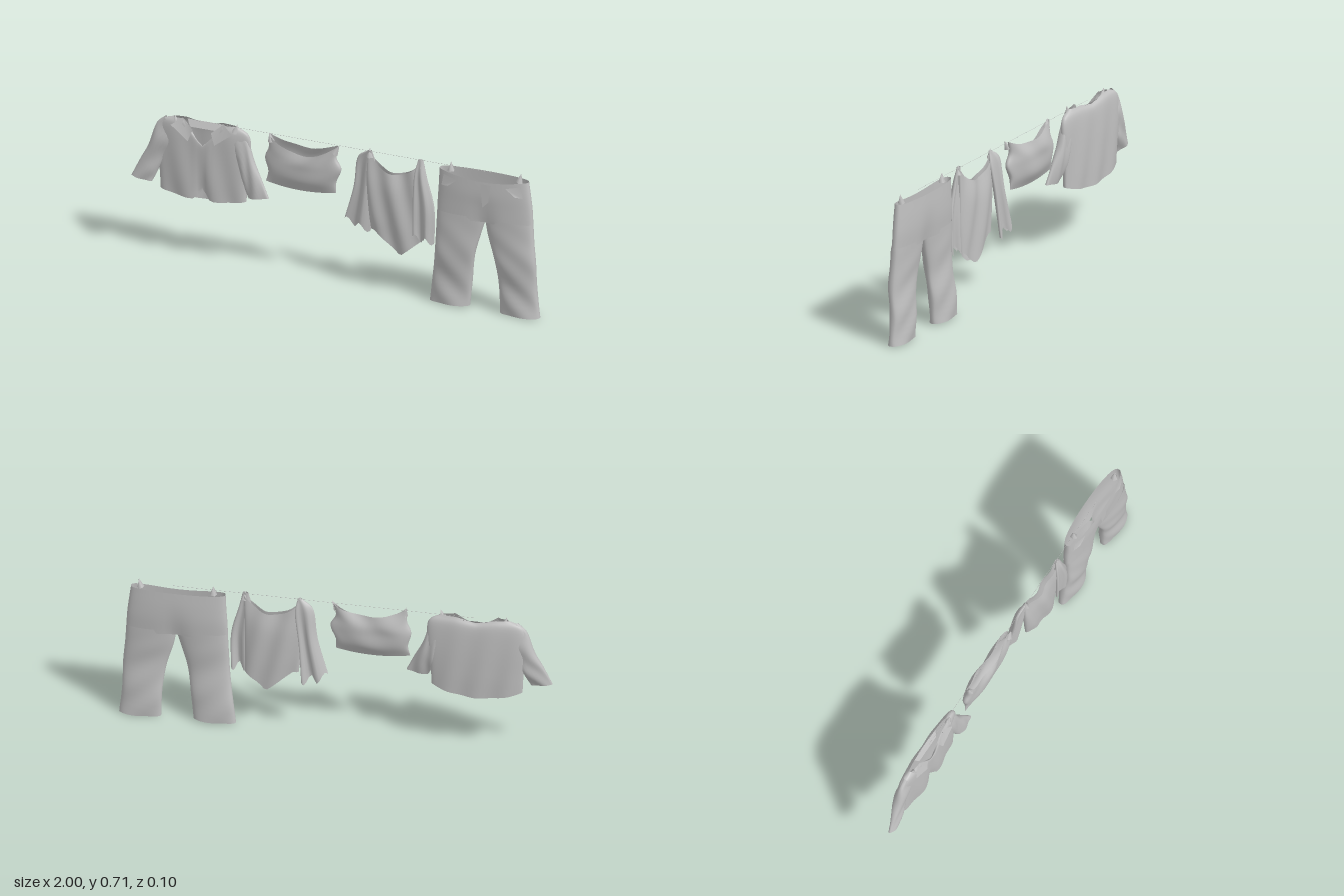
import * as THREE from 'three';

const cloth = new THREE.MeshStandardMaterial({ color: 0xc0c0c0, side: THREE.DoubleSide });
cloth.name = 'grey cloth';

function add(parent, name, geometry) {
  const mesh = new THREE.Mesh(geometry, cloth);
  mesh.name = name;
  parent.add(mesh);
  return mesh;
}

// Hollow cloth tube. Each ring: [ax, ay, bx, by, zCentre, zHalfDepth], from top to bottom.
// deform(p, c, s, t): c runs -1..1 from a to b, s is positive at the front, t is 0 at the top.
function loft(rings, deform = () => {}, n = 40, steps = 5) {
  const curve = (f) => new THREE.CatmullRomCurve3(rings.map(f), false, 'catmullrom', 0.5);
  const ca = curve((r) => new THREE.Vector3(r[0], r[1], r[4]));
  const cb = curve((r) => new THREE.Vector3(r[2], r[3], r[5]));
  const rows = (rings.length - 1) * steps;
  const pos = [], index = [];
  for (let i = 0; i <= rows; i++) {
    const t = i / rows, a = ca.getPoint(t), b = cb.getPoint(t);
    for (let j = 0; j < n; j++) {
      const th = (j / n) * Math.PI * 2;
      const c = Math.cos(th);
      const s = Math.sign(Math.sin(th)) * Math.abs(Math.sin(th)) ** 0.75;
      const p = new THREE.Vector3(
        (a.x + b.x) / 2 + ((b.x - a.x) / 2) * c,
        (a.y + b.y) / 2 + ((b.y - a.y) / 2) * c,
        a.z + b.z * s);
      deform(p, c, s, t);
      pos.push(p.x, p.y, p.z);
      if (i < rows) {
        const k = (j + 1) % n, u = i * n, d = u + n;
        index.push(u + j, u + k, d + j, u + k, d + k, d + j);
      }
    }
  }
  const g = new THREE.BufferGeometry();
  g.setAttribute('position', new THREE.Float32BufferAttribute(pos, 3));
  g.setIndex(index);
  g.computeVertexNormals();
  return g;
}

// Flat four-cornered piece of cloth
function patch(corners) {
  const g = new THREE.BufferGeometry();
  g.setAttribute('position', new THREE.Float32BufferAttribute(corners.flat(), 3));
  g.setIndex([0, 1, 2, 0, 2, 3]);
  g.computeVertexNormals();
  return g;
}

const bump = (x, at, width) => Math.exp(-(((x - at) / width) ** 2));

function makeShirt() {
  const shirt = new THREE.Group();
  shirt.name = 'shirt';
  add(shirt, 'shirtBody', loft([
    [-0.80, 0.695, -0.49, 0.695, 0.0, 0.016],
    [-0.87, 0.66, -0.43, 0.655, -0.003, 0.03],
    [-0.885, 0.55, -0.425, 0.55, -0.005, 0.034],
    [-0.87, 0.42, -0.44, 0.42, -0.005, 0.034],
    [-0.865, 0.33, -0.445, 0.33, -0.005, 0.03],
  ], (p, c, s, t) => {
    const front = Math.max(0, s);
    // open neck in front, shallow neckline behind
    const neck = Math.max(0, 1 - Math.abs(p.x + 0.65) / 0.09);
    p.y -= neck * (front * 0.12 + 0.02) * (1 - t) ** 2;
    // drooping back hem, parted front hem
    p.y -= t ** 3 * (1 - c * c) * (s < 0 ? 0.04 : 0.02);
    p.y += front * t ** 3 * 0.05 * bump(p.x, -0.65, 0.025);
    p.z -= front * 0.014 * bump(p.x, -0.65, 0.015) * t;
    p.z += 0.005 * Math.sin(p.x * 45 + p.y * 9) * t * Math.abs(s);
  }, 64));

  // Sleeves hang outward; the second mirrors the first
  const sleeve = [
    [-0.84, 0.69, -0.80, 0.52, 0, 0.018],
    [-0.885, 0.645, -0.845, 0.47, 0, 0.024],
    [-0.92, 0.54, -0.868, 0.43, 0.002, 0.024],
    [-0.96, 0.46, -0.885, 0.39, 0.01, 0.02],
    [-1.0, 0.375, -0.90, 0.36, 0.018, 0.014],
  ];
  const mirrored = sleeve.map(([ax, ay, bx, by, z, d]) => [-1.325 - bx, by, -1.325 - ax, ay, z, d]);
  const crease = (p, c, s, t) => { p.z += 0.004 * Math.sin(c * 4 + t * 9) * s; };
  add(shirt, 'rightSleeve', loft(sleeve, crease, 24));
  add(shirt, 'leftSleeve', loft(mirrored, crease, 24));

  // Collar wings
  for (const m of [-1, 1]) {
    const x = (d) => -0.65 + m * d;
    add(shirt, m < 0 ? 'rightCollar' : 'leftCollar', patch([
      [x(0.10), 0.70, 0.012], [x(0.045), 0.655, 0.03], [x(0.065), 0.60, 0.04], [x(0.15), 0.665, 0.036],
    ]));
  }
  add(shirt, 'collarBand', patch([
    [-0.74, 0.685, -0.018], [-0.56, 0.685, -0.018], [-0.58, 0.655, 0.0], [-0.72, 0.655, 0.0]]));
  return shirt;
}

function makePillowcase() {
  const g = new THREE.Group();
  g.name = 'pillowcase';
  add(g, 'pillowcaseBag', loft([
    [-0.33, 0.695, 0.012, 0.69, 0.003, 0.018],
    [-0.33, 0.63, 0.0, 0.63, 0.0, 0.03],
    [-0.35, 0.575, 0.025, 0.575, 0.0, 0.03],
    [-0.335, 0.51, 0.0, 0.51, 0.0, 0.026],
    [-0.345, 0.455, -0.002, 0.455, 0.003, 0.001],
  ], (p, c, s, t) => {
    p.y -= (1 - c * c) * (s > 0 ? 0.075 : 0.045) * (1 - t) ** 2; // sagging mouth
    p.y -= (1 - c * c) * 0.018 * t;
    p.z += 0.006 * Math.sin(c * 6 + t * 5) * (1 - t);
  }));
  return g;
}

function makeTowel() {
  const g = new THREE.Group();
  g.name = 'drapedTowel';
  add(g, 'towelCentre', loft([
    [0.155, 0.685, 0.425, 0.685, 0, 0.012],
    [0.15, 0.55, 0.42, 0.55, 0, 0.025],
    [0.16, 0.40, 0.42, 0.40, 0, 0.026],
    [0.17, 0.31, 0.42, 0.31, -0.002, 0.02],
  ], (p, c, s, t) => {
    p.y -= (1 - c * c) * 0.085 * (1 - t) ** 2;
    p.y -= 0.105 * t ** 3 * (1 - Math.min(1, Math.abs(c - 0.2)));
    p.z += 0.007 * Math.sin(p.x * 50 + p.y * 12) * Math.abs(s);
  }, 48));
  // Folded corners hanging from each peg
  const fold = (p, c, s, t) => {
    p.z += 0.012 * Math.sin(c * 5) * t;
    p.y += 0.02 * Math.sin(c * 6) * t ** 3;
  };
  add(g, 'rightFold', loft([
    [0.155, 0.695, 0.175, 0.695, 0, 0.006],
    [0.10, 0.645, 0.185, 0.62, -0.012, 0.012],
    [0.08, 0.50, 0.165, 0.47, -0.022, 0.014],
    [0.03, 0.32, 0.15, 0.285, -0.034, 0.01],
  ], fold, 28));
  add(g, 'leftFold', loft([
    [0.405, 0.695, 0.43, 0.695, 0.005, 0.006],
    [0.39, 0.61, 0.45, 0.61, 0.014, 0.012],
    [0.385, 0.46, 0.485, 0.47, 0.016, 0.014],
    [0.385, 0.31, 0.483, 0.30, 0.012, 0.01],
  ], fold, 28));
  return g;
}

function makeTrousers() {
  const g = new THREE.Group();
  g.name = 'trousers';
  add(g, 'hips', loft([
    [0.508, 0.675, 0.945, 0.675, -0.003, 0.04],
    [0.505, 0.60, 0.955, 0.60, -0.003, 0.043],
    [0.50, 0.53, 0.963, 0.53, -0.003, 0.042],
    [0.497, 0.45, 0.968, 0.45, 0, 0.038],
  ], (p, c, s, t) => {
    p.y -= Math.max(0, s) * (1 - c * c) * 0.022 * (1 - t); // lower front waist
    p.z -= s * 0.014 * bump(p.x, 0.735, 0.05) * t * t;
  }, 56));
  const wrinkle = (p, c, s, t) => {
    p.z += 0.005 * Math.sin(p.y * 38 + c * 3) * s * t;
  };
  add(g, 'rightLeg', loft([
    [0.499, 0.47, 0.738, 0.47, 0, 0.037],
    [0.495, 0.38, 0.712, 0.38, 0.003, 0.036],
    [0.49, 0.27, 0.683, 0.27, 0.006, 0.034],
    [0.475, 0.14, 0.667, 0.14, -0.005, 0.033],
    [0.46, 0.008, 0.655, 0.012, -0.005, 0.034],
  ], wrinkle));
  add(g, 'leftLeg', loft([
    [0.733, 0.47, 0.967, 0.47, 0, 0.037],
    [0.75, 0.38, 0.973, 0.38, 0.003, 0.036],
    [0.782, 0.27, 0.983, 0.27, 0.006, 0.034],
    [0.80, 0.14, 0.985, 0.14, -0.005, 0.033],
    [0.805, 0.005, 0.999, 0.008, -0.005, 0.034],
  ], wrinkle));
  // Fly flap and turned pocket corners
  add(g, 'fly', patch([
    [0.725, 0.645, 0.041], [0.775, 0.645, 0.041], [0.765, 0.56, 0.043], [0.735, 0.53, 0.043]]));
  for (const m of [-1, 1]) {
    const x = (d) => 0.727 + m * d;
    add(g, 'pocketCorner', patch([
      [x(0.12), 0.64, 0.037], [x(0.19), 0.655, 0.022], [x(0.2), 0.6, 0.024], [x(0.165), 0.605, 0.036]]));
  }
  return g;
}

export function createModel() {
  const model = new THREE.Group();
  model.name = 'hangingLaundry';
  model.add(makeShirt(), makePillowcase(), makeTowel(), makeTrousers());

  // Pinched cloth peaks where each piece is held: [x, y, z, lean]
  const peaks = [
    [-0.785, 0.685, 0.01, 0.2], [-0.49, 0.69, 0.01, -0.3], [-0.32, 0.68, 0.01, 0.2], [0.01, 0.675, 0.015, -0.5],
    [0.165, 0.685, 0, 0], [0.42, 0.68, 0.005, 0.1], [0.565, 0.69, 0, 0], [0.905, 0.69, 0, -0.2],
  ];
  for (const [x, y, z, lean] of peaks) {
    const peak = add(model, 'pinchedPeak', new THREE.ConeGeometry(0.017, 0.045, 5));
    peak.position.set(x, y, z);
    peak.rotation.z = lean;
  }

  // Hair-thin line between the pieces
  const line = add(model, 'washingLine', new THREE.CylinderGeometry(0.0006, 0.0006, 1.4, 4));
  line.rotation.z = Math.PI / 2;
  line.position.set(0.06, 0.692, 0);
  return model;
}
